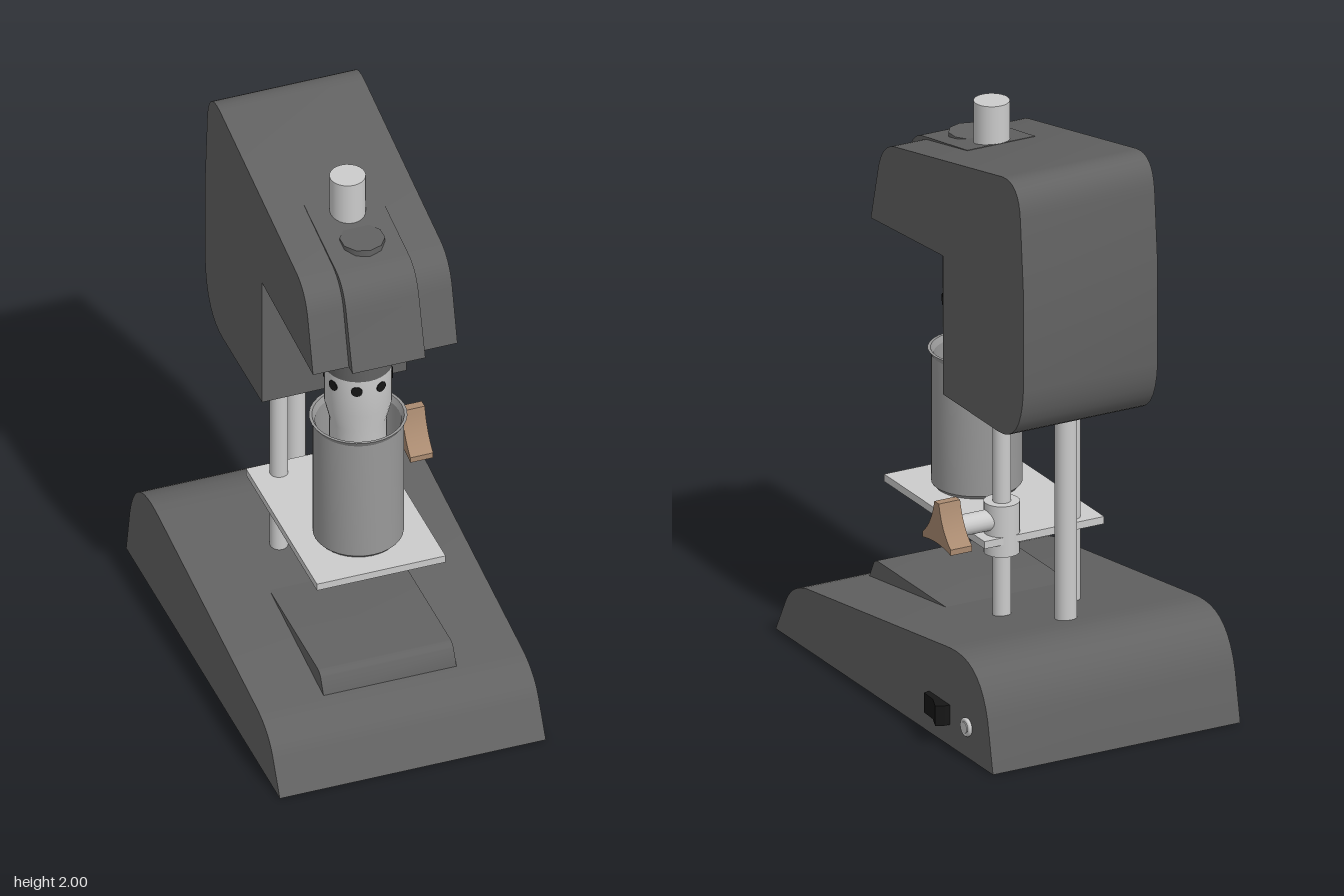
import * as THREE from 'three';
import { toCreasedNormals } from 'three/addons/utils/BufferGeometryUtils.js';

const paint = (color) => new THREE.MeshStandardMaterial({ color });
const DARK = paint(0x626262), GREY = paint(0xcccccc), CUP = paint(0x999999);
const TAN = paint(0xa98a70), BLACK = paint(0x161616);
CUP.side = THREE.DoubleSide;

const AXIS_X = -0.025, CUP_Z = 0.21;

// Side profile in (z, y) pushed across x0..x1; a 4-number point is a curve: control, then end
function slab(points, x0, x1) {
  const shape = new THREE.Shape();
  points.forEach((p, i) => {
    if (i === 0) shape.moveTo(p[0], p[1]);
    else if (p.length === 4) shape.quadraticCurveTo(...p);
    else shape.lineTo(p[0], p[1]);
  });
  const geo = new THREE.ExtrudeGeometry(shape, { depth: x1 - x0, bevelEnabled: false, curveSegments: 8 });
  geo.rotateY(-Math.PI / 2).translate(x1, 0, 0);
  return toCreasedNormals(geo, 0.5);
}

// Upright cylinder between two heights
const post = (r, y0, y1, x, z, sides = 24) =>
  new THREE.CylinderGeometry(r, r, y1 - y0, sides).translate(x, (y0 + y1) / 2, z);

// Cylinder lying along x
const rod = (r, x0, x1, y, z) =>
  new THREE.CylinderGeometry(r, r, x1 - x0, 20).rotateZ(Math.PI / 2).translate((x0 + x1) / 2, y, z);

// Turned part about the mixing axis, profile listed from bottom to top
const turned = (profile) => toCreasedNormals(
  new THREE.LatheGeometry(profile.map((p) => new THREE.Vector2(...p)), 32), 0.4).translate(AXIS_X, 0, CUP_Z);

export function createModel() {
  const model = new THREE.Group();
  const add = (name, geo, mat) => {
    const mesh = new THREE.Mesh(geo, mat);
    mesh.name = name;
    model.add(mesh);
    return mesh;
  };

  // Sloping base and its raised pad
  add('base', slab([[0.73, 0], [-0.73, 0], [-0.695, 0.175], [-0.65, 0.35, -0.49, 0.35],
    [-0.46, 0.35, -0.42, 0.345], [0.52, 0.215], [0.63, 0.195, 0.67, 0.11]], -0.49, 0.44), DARK);
  add('basePad', slab([[0.52, 0.2], [-0.01, 0.2], [-0.01, 0.286], [0.46, 0.286],
    [0.485, 0.286, 0.495, 0.265], [0.52, 0.215]], -0.26, 0.205), DARK);

  // Overhanging motor housing with a raised front panel
  add('housing', slab([[0.475, 1.503], [-0.01, 1.54], [-0.01, 1.05], [-0.38, 1.05],
    [-0.535, 1.05, -0.55, 1.25], [-0.55, 1.6], [-0.53, 1.85], [-0.52, 1.98, -0.41, 1.962],
    [0.32, 1.81], [0.4, 1.79, 0.425, 1.7]], -0.28, 0.225), DARK);
  add('frontPanel', slab([[0.51, 1.5], [0.4, 1.508], [0.3, 1.75], [0.05, 1.84], [0.05, 1.868],
    [0.35, 1.813], [0.43, 1.8, 0.455, 1.69]], -0.155, 0.1), DARK);
  add('topButton', post(0.06, 1.8, 2, AXIS_X, 0.11), GREY);
  add('topCap', post(0.075, 1.78, 1.842, AXIS_X, 0.25, 10), DARK);

  // Support posts
  for (const x of [-0.155, 0.105]) add('frontPost', post(0.031, 0.25, 1.1, x, -0.19), GREY);
  add('rearPost', post(0.037, 0.3, 1.1, -0.03, -0.38), GREY);

  // Height-adjustable table, collar and clamp knob
  add('table', new THREE.BoxGeometry(0.45, 0.026, 0.675).translate(-0.025, 0.593, 0.093), GREY);
  add('collar', post(0.06, 0.535, 0.715, 0.105, -0.19), GREY);
  add('clampScrew', rod(0.036, 0.13, 0.29, 0.655, -0.19), GREY);
  add('clampKnob', slab([[-0.175, 0.755], [-0.155, 0.665, -0.095, 0.62], [-0.095, 0.6],
    [-0.19, 0.625, -0.285, 0.6], [-0.285, 0.62], [-0.225, 0.665, -0.205, 0.755]], 0.27, 0.35), TAN);

  // Open cup with a flared lip
  add('cup', turned([[0, 0.607], [0.138, 0.607], [0.15, 0.62], [0.15, 1.07], [0.162, 1.09],
    [0.152, 1.09], [0.142, 1.07], [0.142, 0.618], [0, 0.618]]), CUP);

  // Mixing head: dark neck above a light perforated sleeve
  add('mixerNeck', turned([[0, 1.305], [0.113, 1.305], [0.113, 1.45], [0.16, 1.54], [0, 1.54]]), DARK);
  add('mixerSleeve', turned([[0, 0.75], [0.095, 0.75], [0.095, 1.09], [0.112, 1.16],
    [0.112, 1.305], [0, 1.305]]), GREY);
  for (let i = 0; i < 8; i++) {
    const hole = new THREE.CylinderGeometry(0.019, 0.019, 0.01, 14).rotateX(Math.PI / 2).translate(0, 0, 0.109);
    hole.rotateY((i + 0.5) * Math.PI / 4).translate(AXIS_X, 1.265, CUP_Z);
    add('sleeveHole', hole, BLACK);
  }

  // Rocker switch: a plan profile pushed upward
  const rocker = new THREE.Shape([[0.43, 0.3], [0.462, 0.305], [0.465, 0.37], [0.487, 0.425],
    [0.46, 0.44], [0.43, 0.44]].map((p) => new THREE.Vector2(...p)));
  add('rockerSwitch', new THREE.ExtrudeGeometry(rocker, { depth: 0.07, bevelEnabled: false })
    .rotateX(-Math.PI / 2).translate(0, 0.075, 0), BLACK);

  // Power socket
  add('socketRing', new THREE.TorusGeometry(0.025, 0.008, 8, 24)
    .rotateY(Math.PI / 2).translate(0.446, 0.11, -0.56), GREY);
  add('socketPin', rod(0.02, 0.42, 0.455, 0.11, -0.56), GREY);

  return model;
}
